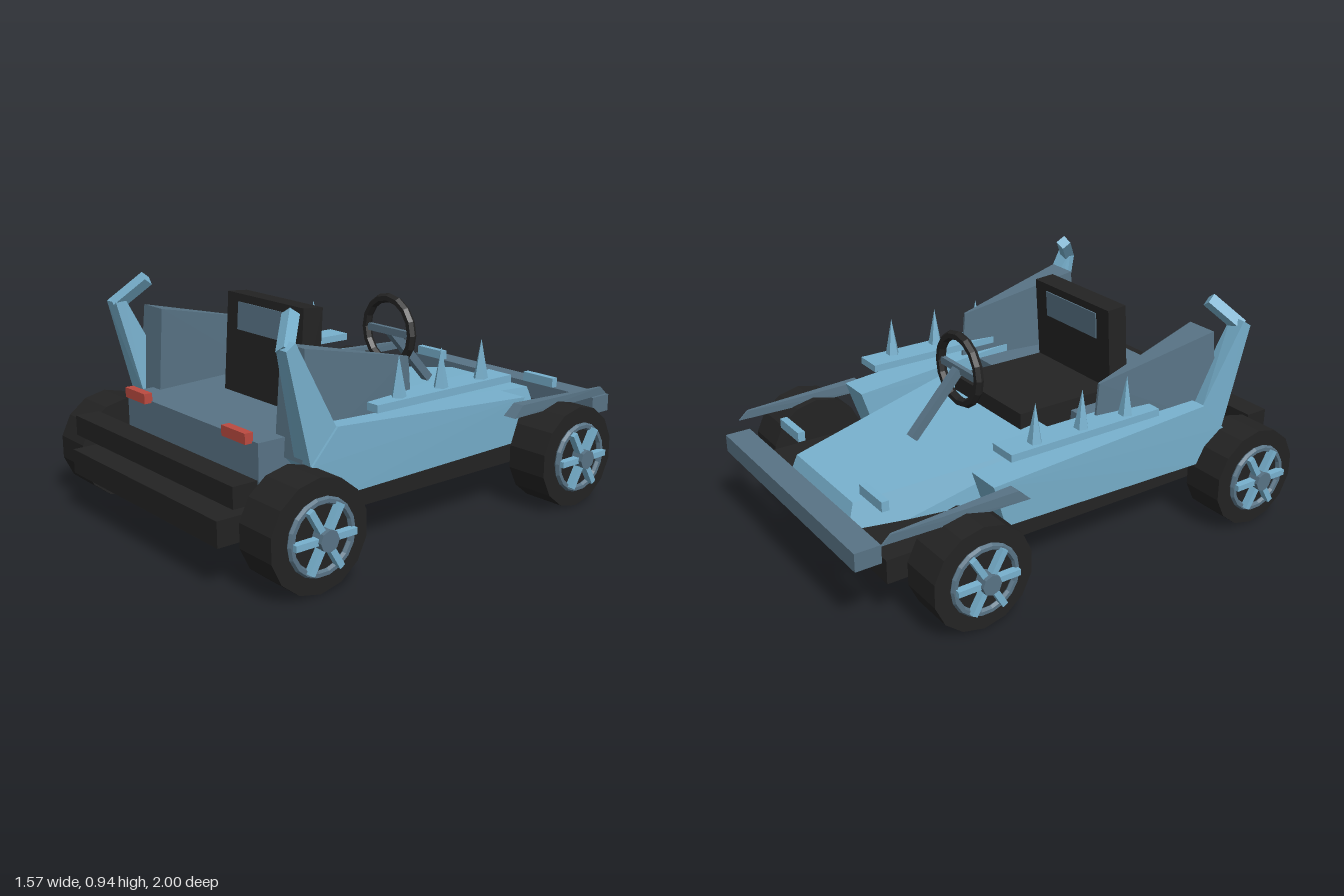
import * as THREE from 'three';
import { ConvexGeometry } from 'three/addons/geometries/ConvexGeometry.js';

export function createModel() {
  const root = new THREE.Group();
  root.name = 'kart';
  const mat = (name, color) => {
    const m = new THREE.MeshStandardMaterial({ color, flatShading: true });
    m.name = name;
    return m;
  };
  const blue = mat('light blue', 0x78b1ce);
  const slate = mat('slate', 0x587385);
  const dark = mat('black', 0x232323);
  const red = mat('red', 0xbb4a40);

  const add = (name, geo, m, pos = [0, 0, 0], parent = root) => {
    const mesh = new THREE.Mesh(geo, m);
    mesh.name = name;
    mesh.position.set(...pos);
    parent.add(mesh);
    return mesh;
  };
  // box given by its limits on each axis
  const box = (name, m, [x0, x1], [y0, y1], [z0, z1], parent = root) =>
    add(name, new THREE.BoxGeometry(x1 - x0, y1 - y0, z1 - z0), m,
      [(x0 + x1) / 2, (y0 + y1) / 2, (z0 + z1) / 2], parent);
  // convex solid from its corners, mirrored by s
  const hull = (name, m, pts, s = 1) =>
    add(name, new ConvexGeometry(pts.map(([x, y, z]) => new THREE.Vector3(x * s, y, z))), m);
  // square bar between two points
  const bar = (name, m, a, b, w, d) => {
    const p = new THREE.Vector3(...a), q = new THREE.Vector3(...b);
    const mesh = add(name, new THREE.BoxGeometry(w, p.distanceTo(q), d), m);
    mesh.position.copy(p).add(q).multiplyScalar(0.5);
    mesh.quaternion.setFromUnitVectors(new THREE.Vector3(0, 1, 0), q.sub(p).normalize());
    return mesh;
  };

  // chassis, bumpers and rear deck
  box('chassis', dark, [-0.51, 0.51], [0.165, 0.262], [-0.855, 1]);
  box('rearBumper', dark, [-0.55, 0.55], [0.305, 0.385], [0.86, 0.96]);
  box('rearDeck', slate, [-0.445, 0.445], [0.285, 0.473], [0.16, 0.78]);
  box('frontWing', slate, [-0.555, 0.555], [0.29, 0.363], [-1, -0.895]);

  // wedge-shaped nose
  const nose = [];
  for (const s of [-1, 1]) {
    nose.push([s * 0.235, 0.36, -0.835], [s * 0.265, 0.185, -0.895],
      [s * 0.41, 0.465, 0], [s * 0.43, 0.27, 0.05]);
  }
  hull('nose', blue, nose);

  // seat
  box('seatCushion', dark, [-0.24, 0.24], [0.39, 0.52], [-0.09, 0.38]);
  const seatBack = new THREE.Group();
  seatBack.name = 'seatBack';
  seatBack.position.set(0, 0.465, 0.405);
  seatBack.rotation.x = -0.07;
  root.add(seatBack);
  box('backrest', dark, [-0.245, 0.245], [0, 0.402], [-0.045, 0.045], seatBack);
  box('backrestPanel', slate, [-0.167, 0.167], [0.26, 0.37], [-0.05, 0.05], seatBack);

  // steering
  add('steeringWheel', new THREE.TorusGeometry(0.14, 0.02, 6, 16), dark, [0, 0.66, -0.218]);
  box('steeringSpoke', slate, [-0.13, 0.13], [0.645, 0.675], [-0.228, -0.208]);
  bar('steeringColumn', slate, [0, 0.66, -0.225], [0, 0.42, -0.445], 0.036, 0.036);

  for (const s of [-1, 1]) {
    const span = (a, b) => (s > 0 ? [a, b] : [-b, -a]);

    // side pod, flaring towards the back
    hull('sidePod', blue, [
      [0.425, 0.265, -0.38], [0.56, 0.265, -0.38], [0.425, 0.45, -0.44], [0.57, 0.45, -0.44],
      [0.44, 0.525, 0.55], [0.6, 0.525, 0.55], [0.44, 0.4, 0.665], [0.6, 0.4, 0.665],
      [0.44, 0.265, 0.55], [0.59, 0.265, 0.55]], s);

    // spiked rail
    box('spikeRail', blue, span(0.445, 0.565), [0.525, 0.555], [-0.36, 0.34]);
    for (const z of [0.203, -0.012, -0.228]) {
      add('spike', new THREE.ConeGeometry(0.032, 0.17, 5), blue, [s * 0.525, 0.628, z]);
    }

    // tapering fin beside the seat
    hull('seatFin', slate, [
      [0.465, 0.45, 0.09], [0.475, 0.45, 0.09], [0.465, 0.685, 0.11], [0.475, 0.685, 0.11],
      [0.395, 0.8, 0.64], [0.53, 0.8, 0.64], [0.39, 0.4, 0.67], [0.55, 0.4, 0.67]], s);

    // rear horn: rising blade and bent tip
    hull('hornBlade', blue, [
      [0.5, 0.5, 0.56], [0.59, 0.52, 0.55], [0.5, 0.4, 0.665], [0.59, 0.4, 0.665],
      [0.535, 0.82, 0.765], [0.6, 0.82, 0.77], [0.525, 0.845, 0.735], [0.6, 0.845, 0.73]], s);
    bar('hornTip', blue, [s * 0.565, 0.81, 0.75], [s * 0.475, 0.915, 0.655], 0.045, 0.045);

    // front fender, pointed forwards
    hull('fender', slate, [
      [0.57, 0.395, -0.32], [0.63, 0.395, -0.32], [0.575, 0.44, -0.37], [0.625, 0.44, -0.37],
      [0.595, 0.425, -0.88], [0.605, 0.425, -0.88], [0.597, 0.39, -0.92], [0.603, 0.39, -0.92]], s);

    // lamps
    box('tailLight', red, span(0.265, 0.41), [0.465, 0.505], [0.775, 0.81]);
    box('headLight', blue, span(0.255, 0.42), [0.4, 0.44], [-0.815, -0.785]);

    // wheels
    for (const z of [0.735, -0.59]) {
      const wheel = new THREE.Group();
      wheel.name = z > 0 ? 'rearWheel' : 'frontWheel';
      wheel.position.set(s * 0.64, 0.208, z);
      wheel.rotation.y = s * Math.PI / 2;
      root.add(wheel);
      const disc = (name, r, m, z0, z1, n) => {
        const g = new THREE.CylinderGeometry(r, r, z1 - z0, n).rotateX(Math.PI / 2);
        return add(name, g, m, [0, 0, (z0 + z1) / 2], wheel);
      };
      disc('tire', 0.208, dark, -0.09, 0.09, 14);
      disc('axle', 0.025, slate, -0.2, -0.08, 8);
      disc('hub', 0.04, slate, 0.09, 0.143, 8);
      add('rim', new THREE.TorusGeometry(0.13, 0.014, 6, 18), slate, [0, 0, 0.097], wheel);
      for (let i = 0; i < 6; i++) {
        const a = i * Math.PI / 3;
        const spoke = add('spoke', new THREE.BoxGeometry(0.1, 0.024, 0.03), blue,
          [Math.cos(a) * 0.08, Math.sin(a) * 0.08, 0.113], wheel);
        spoke.rotation.z = a;
      }
    }
  }
  return root;
}
